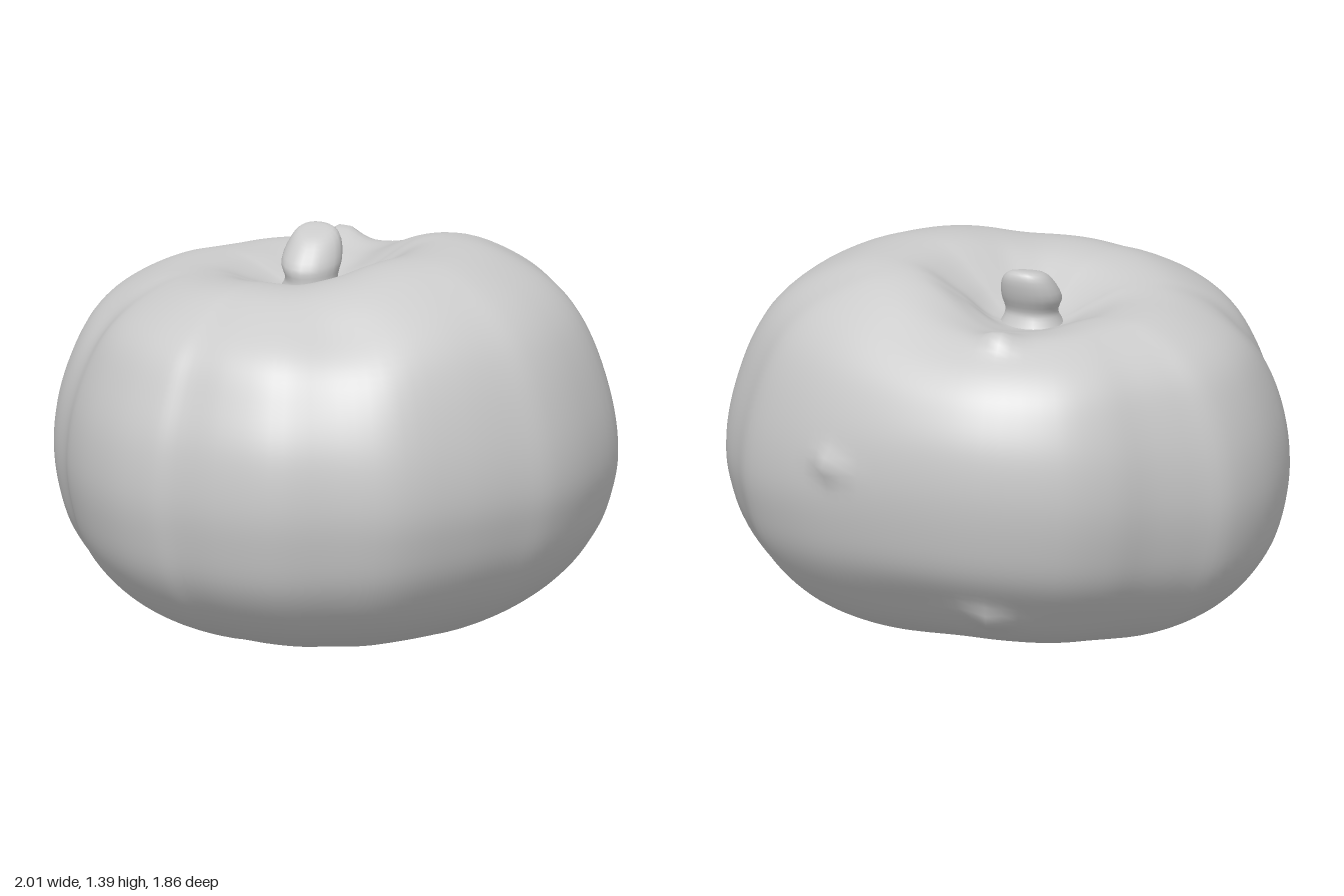
import * as THREE from 'three';
import { mergeVertices } from 'three/addons/utils/BufferGeometryUtils.js';

const material = new THREE.MeshStandardMaterial({ color: 0xcccccc });

// Closed loft: point(u, v) goes round with u and from top to bottom with v.
function loft(nu, nv, point) {
  const positions = [], index = [];
  for (let j = 0; j <= nv; j++)
    for (let i = 0; i < nu; i++) positions.push(...point(i / nu, j / nv).toArray());
  for (let j = 0; j < nv; j++)
    for (let i = 0; i < nu; i++) {
      const a = j * nu + i, b = j * nu + ((i + 1) % nu);
      if (j > 0) index.push(a, b, a + nu);
      if (j < nv - 1) index.push(b, b + nu, a + nu);
    }
  let g = new THREE.BufferGeometry();
  g.setAttribute('position', new THREE.Float32BufferAttribute(positions, 3));
  g.setIndex(index);
  g = mergeVertices(g, 1e-5); // joins the poles
  g.computeVertexNormals();
  return g;
}

// Smooth interpolation through the rows of a table.
function sampleRows(rows, t) {
  const s = t * (rows.length - 1);
  const i = Math.min(Math.floor(s), rows.length - 2), w = s - i;
  const at = (k) => rows[Math.max(0, Math.min(rows.length - 1, k))];
  return rows[i].map((_, c) => {
    const [p0, p1, p2, p3] = [at(i - 1)[c], at(i)[c], at(i + 1)[c], at(i + 2)[c]];
    return p1 + 0.5 * w * (p2 - p0 + w * (2 * p0 - 5 * p1 + 4 * p2 - p3 + w * (3 * (p1 - p2) + p3 - p0)));
  });
}

// Uneven plan outline [x, z], from +x towards +z.
const outline = new THREE.CatmullRomCurve3([
  [0.99, 0.02], [0.93, 0.24], [0.84, 0.38], [0.7, 0.57], [0.51, 0.76], [0.28, 0.85],
  [0.08, 0.92], [-0.13, 0.91], [-0.3, 0.865], [-0.4, 0.85], [-0.55, 0.78], [-0.7, 0.65],
  [-0.81, 0.5], [-0.86, 0.39], [-0.94, 0.26], [-0.99, 0.1], [-1, -0.13], [-0.94, -0.34],
  [-0.84, -0.46], [-0.725, -0.595], [-0.615, -0.735], [-0.46, -0.85], [-0.18, -0.93], [0.1, -0.92],
  [0.38, -0.85], [0.6, -0.75], [0.8, -0.6], [0.88, -0.48], [0.99, -0.28],
].map(([x, z]) => new THREE.Vector3(x, 0, z)), true);

// Rings: [width fraction, height at +x, +z, -x, -z].
const rings = [
  [0, 1.17, 1.17, 1.17, 1.17],
  [0.13, 1.19, 1.19, 1.18, 1.18],
  [0.24, 1.28, 1.24, 1.22, 1.2],
  [0.38, 1.37, 1.3, 1.26, 1.23],
  [0.55, 1.37, 1.3, 1.255, 1.245],
  [0.72, 1.29, 1.23, 1.19, 1.2],
  [0.84, 1.18, 1.14, 1.1, 1.13],
  [0.92, 1.03, 1.0, 0.97, 1.04],
  [0.98, 0.82, 0.84, 0.8, 0.92],
  [1, 0.64, 0.65, 0.63, 0.77],
  [0.98, 0.5, 0.49, 0.47, 0.6],
  [0.93, 0.36, 0.33, 0.33, 0.44],
  [0.83, 0.22, 0.2, 0.2, 0.31],
  [0.69, 0.11, 0.1, 0.1, 0.17],
  [0.5, 0.03, 0.03, 0.03, 0.08],
  [0.3, 0.01, 0.005, 0.015, 0.025],
  [0.12, 0.03, 0.03, 0.03, 0.03],
  [0, 0.04, 0.04, 0.04, 0.04],
];

// Warts (positive) and dimples (negative): [x, y, z, height, radius].
const bumps = [
  [-0.14, 1.24, -0.59, 0.06, 0.065],
  [0.41, 0.79, -0.83, 0.035, 0.05],
  [-0.15, 0.24, -0.73, 0.04, 0.06],
  [0.02, 0.04, 0, 0.03, 0.05],
  [-0.76, 1.1, 0.22, -0.02, 0.12],
  [0.27, 1.2, 0.58, -0.025, 0.17],
];
const core = new THREE.Vector3(0, 0.65, 0);

function bodyPoint(u, v) {
  const [f, east, south, west, north] = sampleRows(rings, v);
  const o = outline.getPoint(u);
  const a = Math.atan2(o.z, o.x), c2 = Math.cos(a) ** 2;
  // The fuller +x side spreads further round than the others.
  const w = o.x > 0 ? c2 * (2 - c2) : c2;
  const y = w * (o.x > 0 ? east : west) + (1 - w) * (o.z > 0 ? south : north);
  // The top hollow sits off centre, under the stem.
  const shift = v < 0.53 ? 1 - f : 0;
  const p = new THREE.Vector3(o.x * f - 0.12 * shift, y, o.z * f - 0.16 * shift);
  const out = p.clone().sub(core).normalize();
  let push = 0;
  for (const [x, by, z, h, r] of bumps)
    push += h * Math.exp(-((p.x - x) ** 2 + (p.y - by) ** 2 + (p.z - z) ** 2) / (r * r));
  return p.addScaledVector(out, push);
}

// Stem sections, top to bottom: [x, y, z, radius].
const stemRows = [
  [-0.12, 1.385, -0.21, 0], [-0.12, 1.38, -0.21, 0.06], [-0.12, 1.345, -0.195, 0.092],
  [-0.125, 1.28, -0.165, 0.108], [-0.12, 1.23, -0.15, 0.095], [-0.12, 1.2, -0.15, 0.1],
  [-0.12, 1.15, -0.15, 0.13],
];

function stemPoint(u, v) {
  const [x, y, z, r] = sampleRows(stemRows, v);
  const a = u * Math.PI * 2, lobed = r * (1 + 0.05 * Math.cos(3 * a + 1));
  // The top face slopes down a little to the front.
  return new THREE.Vector3(x + lobed * Math.cos(a), y - 0.25 * lobed * Math.sin(a) * (1 - v), z + lobed * Math.sin(a));
}

export function createModel() {
  const group = new THREE.Group();
  group.name = 'roundFruit';
  const add = (name, geometry) => {
    const mesh = new THREE.Mesh(geometry, material);
    mesh.name = name;
    group.add(mesh);
  };
  add('body', loft(120, 85, bodyPoint));
  add('stem', loft(20, 18, stemPoint));
  return group;
}
